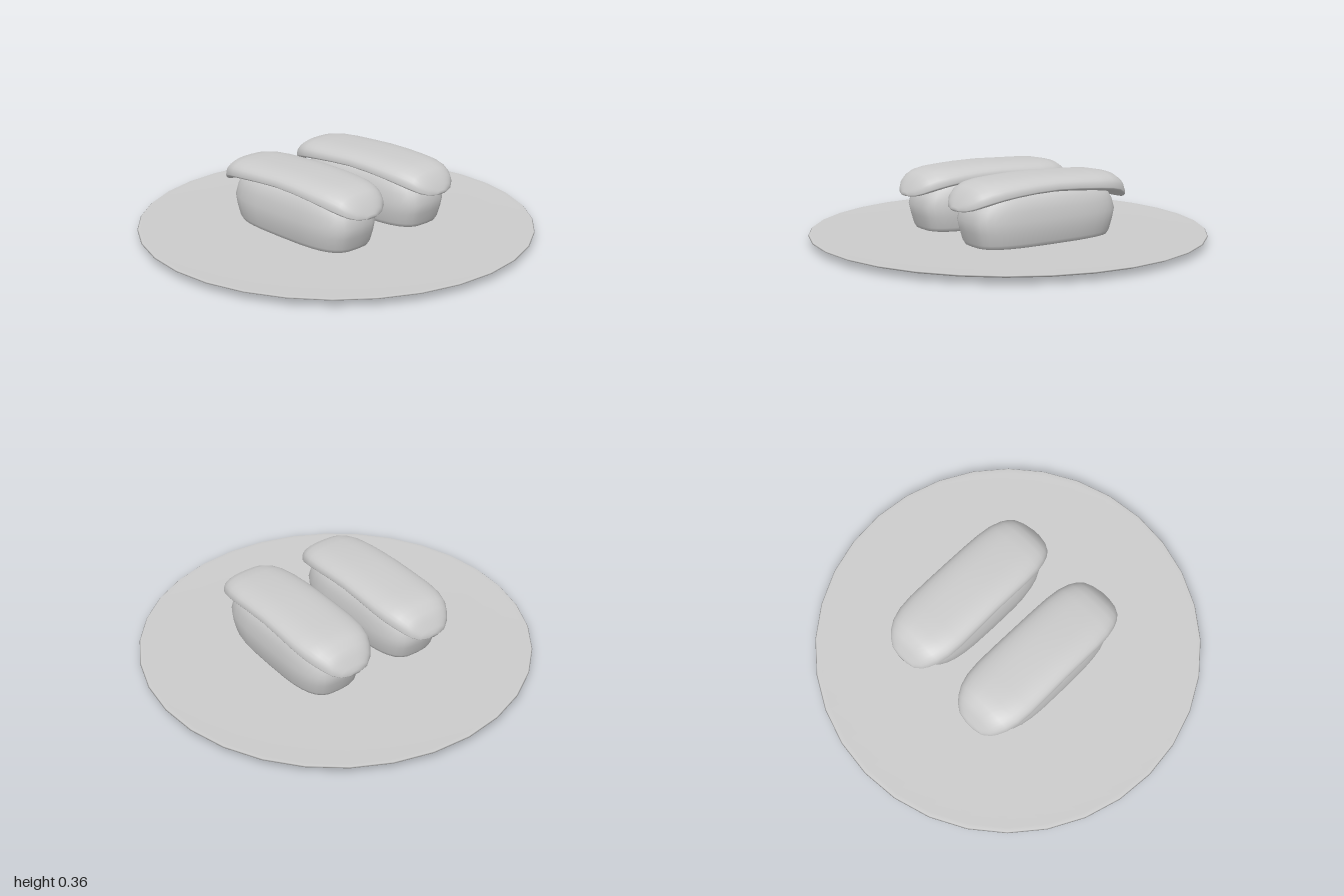
import * as THREE from 'three';

const material = new THREE.MeshStandardMaterial({ color: 0xcccccc });
const SIDES = 32;

// Signed power, used for superellipse outlines
const spow = (v, p) => Math.sign(v) * Math.abs(v) ** p;

// Skin a row of closed rings and close both ends with a fan
function loft(rings) {
  const n = rings[0].length, pos = [], index = [];
  rings.forEach((ring) => ring.forEach((p) => pos.push(p.x, p.y, p.z)));
  for (let i = 0; i < rings.length - 1; i++) {
    for (let j = 0; j < n; j++) {
      const k = (j + 1) % n;
      const a = i * n + j, b = i * n + k, c = b + n, d = a + n;
      index.push(a, b, c, a, c, d);
    }
  }
  [rings[0], rings[rings.length - 1]].forEach((ring, end) => {
    const centre = ring.reduce((s, p) => s.add(p), new THREE.Vector3()).divideScalar(n);
    const c = pos.length / 3, base = end ? (rings.length - 1) * n : 0;
    pos.push(centre.x, centre.y, centre.z);
    for (let j = 0; j < n; j++) {
      const a = base + j, b = base + (j + 1) % n;
      if (end) index.push(c, a, b); else index.push(c, b, a);
    }
  });
  const g = new THREE.BufferGeometry();
  g.setAttribute('position', new THREE.Float32BufferAttribute(pos, 3));
  g.setIndex(index);
  g.computeVertexNormals();
  return g;
}

function addMesh(parent, geometry, name) {
  const mesh = new THREE.Mesh(geometry, material);
  mesh.name = name;
  parent.add(mesh);
  return mesh;
}

// Shallow round plate, turned from a profile running from underside to top
function plateGeometry() {
  const profile = [
    [0, 0], [0.4, 0.004], [0.8, 0.014], [0.93, 0.021], [0.98, 0.028], [1, 0.036],
    [0.995, 0.04], [0.975, 0.038], [0.8, 0.034], [0.4, 0.031], [0, 0.03],
  ].map(([x, y]) => new THREE.Vector2(x, y));
  return new THREE.LatheGeometry(profile, SIDES);
}

// Rice block: stacked rounded outlines, widest a little below the middle
function riceGeometry() {
  const levels = [ // y, half length, half width
    [0.03, 0.35, 0.14], [0.036, 0.375, 0.158], [0.055, 0.387, 0.167],
    [0.11, 0.402, 0.177], [0.16, 0.414, 0.178], [0.21, 0.4, 0.169],
    [0.255, 0.375, 0.157], [0.285, 0.32, 0.13], [0.292, 0.25, 0.09],
  ];
  return loft(levels.map(([y, l, w]) => Array.from({ length: SIDES }, (_, j) => {
    const a = (j / SIDES) * Math.PI * 2;
    return new THREE.Vector3(
      l * spow(Math.cos(a), 0.6), y, -w * spow(Math.sin(a), 0.6));
  })));
}

// Draped topping: cross-sections along x that thin out and droop at the ends
function toppingGeometry() {
  const stations = [ // x, half width, top, lower edge
    [-0.489, 0.03, 0.222, 0.2], [-0.48, 0.078, 0.243, 0.2], [-0.455, 0.115, 0.28, 0.206],
    [-0.43, 0.137, 0.315, 0.216], [-0.39, 0.16, 0.338, 0.233], [-0.33, 0.177, 0.349, 0.247],
    [-0.25, 0.184, 0.354, 0.258], [-0.12, 0.183, 0.358, 0.27], [0, 0.181, 0.362, 0.276],
    [0.12, 0.181, 0.36, 0.273], [0.22, 0.18, 0.355, 0.265], [0.3, 0.174, 0.35, 0.253],
    [0.36, 0.16, 0.341, 0.238], [0.4, 0.143, 0.325, 0.227], [0.43, 0.122, 0.3, 0.219],
    [0.455, 0.085, 0.262, 0.215], [0.47, 0.035, 0.235, 0.216],
  ];
  return loft(stations.map(([x, w, top, edge]) => {
    const mid = edge + (top - edge) * 0.28;
    return Array.from({ length: SIDES }, (_, j) => {
      const a = (j / SIDES) * Math.PI * 2, s = Math.sin(a);
      const y = s > 0 ? mid + (top - mid) * spow(s, 0.8) : mid + (mid - edge) * s;
      return new THREE.Vector3(x, y, -w * spow(Math.cos(a), 0.75));
    });
  }));
}

export function createModel() {
  const model = new THREE.Group();
  model.name = 'plateWithTwoRicePieces';
  addMesh(model, plateGeometry(), 'plate');

  // Two matching pieces, one towards the front and one towards the back
  const rice = riceGeometry(), topping = toppingGeometry();
  [['frontPiece', 0.226, 0], ['backPiece', -0.262, 0.012]].forEach(([name, z, turn]) => {
    const piece = new THREE.Group();
    piece.name = name;
    piece.position.z = z;
    addMesh(piece, rice, 'rice');
    addMesh(piece, topping, 'topping').rotation.y = turn;
    model.add(piece);
  });
  return model;
}
